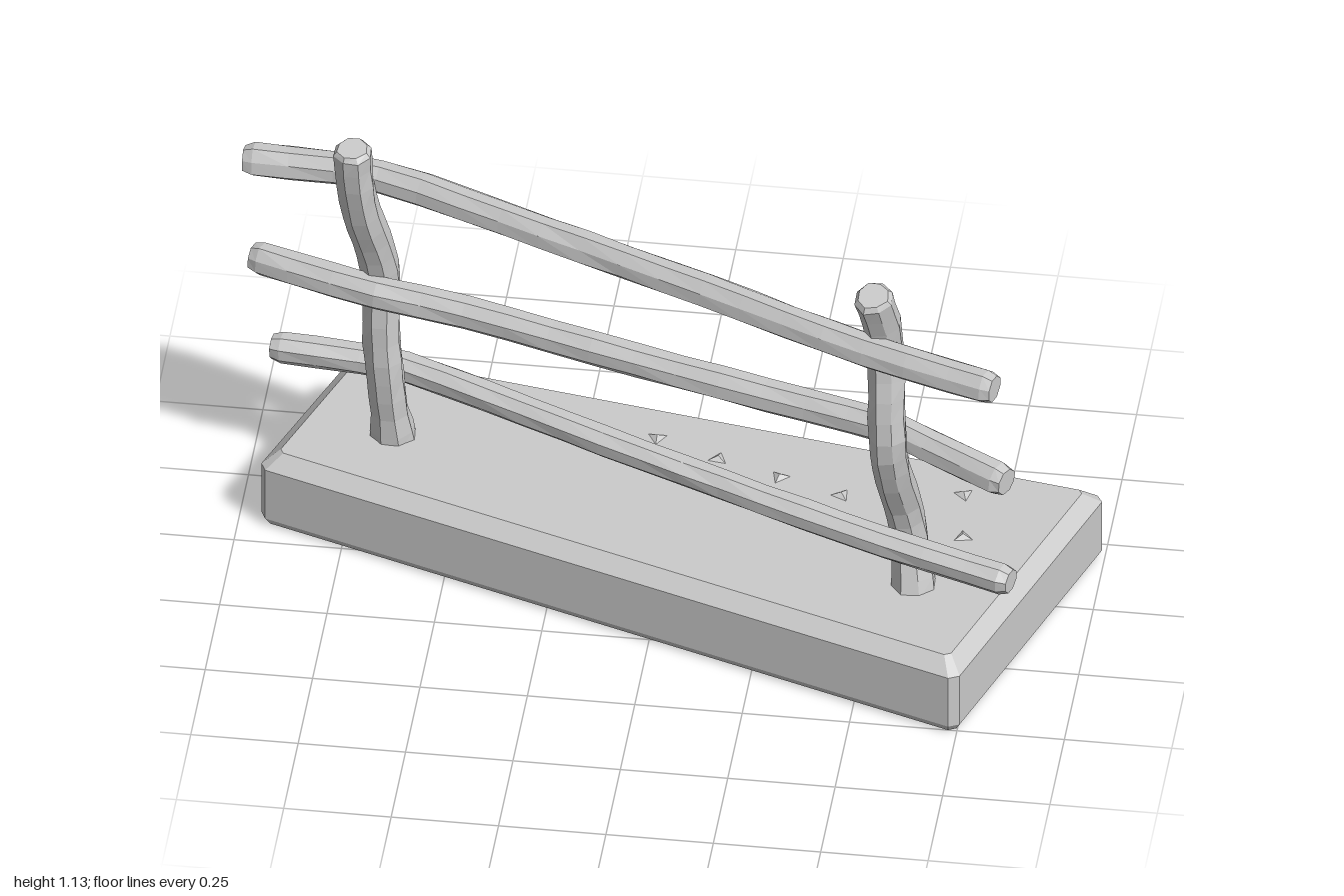
import * as THREE from 'three';

const material = new THREE.MeshStandardMaterial({ color: 0xcccccc, flatShading: true });
const V = (x, y, z) => new THREE.Vector3(x, y, z);

// Small seeded generator for the hand-carved irregularity
let seed = 7;
const rand = () => {
  seed = (seed * 16807) % 2147483647;
  return seed / 2147483647 - 0.5;
};

// Skin a list of rings (counter-clockwise about the direction of travel), closing both ends
function loft(name, rings) {
  const pos = [];
  const tri = (...pts) => pts.forEach((p) => pos.push(p.x, p.y, p.z));
  const n = rings[0].length;
  for (let i = 0; i < rings.length - 1; i++) {
    for (let j = 0; j < n; j++) {
      const k = (j + 1) % n, a = rings[i], b = rings[i + 1];
      tri(a[j], a[k], b[k]);
      tri(a[j], b[k], b[j]);
    }
  }
  const cap = (ring, flip) => {
    const c = ring.reduce((s, p) => s.add(p), V(0, 0, 0)).divideScalar(n);
    ring.forEach((p, j) => {
      const q = ring[(j + 1) % n];
      flip ? tri(c, q, p) : tri(c, p, q);
    });
  };
  cap(rings[0], true);
  cap(rings[rings.length - 1], false);
  const geo = new THREE.BufferGeometry();
  geo.setAttribute('position', new THREE.Float32BufferAttribute(pos, 3));
  geo.computeVertexNormals();
  const mesh = new THREE.Mesh(geo, material);
  mesh.name = name;
  return mesh;
}

// Crooked branch along a path, with uneven facets and chamfered ends
function branch(name, points, radius, up, flare = 0) {
  const sides = 8, steps = 18;
  const curve = new THREE.CatmullRomCurve3(points.map((p) => V(...p)), false, 'centripetal');
  const lumps = Array.from({ length: sides }, () => 1 + rand() * 0.12);
  const stations = [0, 0.012];
  for (let i = 1; i < steps; i++) stations.push(i / steps);
  stations.push(0.988, 1);
  const rings = stations.map((u, i) => {
    const p = curve.getPointAt(u), t = curve.getTangentAt(u);
    const nrm = up.clone().cross(t).normalize();
    const bin = t.clone().cross(nrm);
    const tip = i === 0 || i === stations.length - 1 ? 0.8 : 1;
    const thick = 1 + flare * Math.max(0, 1 - u * 9);
    return lumps.map((l, j) => {
      const a = ((j + 0.5) / sides) * Math.PI * 2;
      const r = radius * l * tip * thick * (1 + rand() * 0.09);
      return p.clone().addScaledVector(nrm, Math.cos(a) * r).addScaledVector(bin, Math.sin(a) * r);
    });
  });
  return loft(name, rings);
}

// Skewed slab with a bevelled rim and clipped corners
function slab() {
  const corners = [V(0.75, 0, 0.52), V(1, 0, -0.22), V(-0.79, 0, -0.525), V(-0.955, 0, -0.07)];
  const outline = (y, inset, clip) => corners.flatMap((c, i) => {
    const before = corners[(i + 3) % 4].clone().sub(c).normalize();
    const after = corners[(i + 1) % 4].clone().sub(c).normalize();
    const p = c.clone().addScaledVector(before, inset).addScaledVector(after, inset).setY(y);
    return [p.clone().addScaledVector(before, clip), p.clone().addScaledVector(after, clip)];
  });
  return loft('base', [
    outline(0.005, 0.012, 0.015),
    outline(0.025, 0, 0.02),
    outline(0.165, 0, 0.02),
    outline(0.2, 0.036, 0.012),
  ]);
}

export function createModel() {
  seed = 7;
  const model = new THREE.Group();
  model.name = 'rusticFence';
  const X = V(1, 0, 0), Y = V(0, 1, 0);

  model.add(slab());

  // Two crooked posts
  model.add(branch('leftPost', [
    [0.61, 0.17, 0.21], [0.597, 0.33, 0.19], [0.585, 0.43, 0.21], [0.567, 0.57, 0.27],
    [0.56, 0.7, 0.303], [0.557, 0.9, 0.288], [0.55, 1.0, 0.298], [0.533, 1.125, 0.342],
  ], 0.046, X, 0.25));
  model.add(branch('rightPost', [
    [-0.655, 0.17, -0.205], [-0.67, 0.35, -0.182], [-0.68, 0.5, -0.178], [-0.682, 0.65, -0.185],
    [-0.69, 0.75, -0.163], [-0.718, 0.9, -0.112], [-0.73, 1.0, -0.09], [-0.735, 1.11, -0.075],
  ], 0.045, X, 0.25));

  // Three rails woven past the posts
  model.add(branch('topRail', [
    [-1, 0.972, -0.185], [-0.75, 0.978, -0.165], [-0.62, 0.975, -0.135], [-0.45, 0.97, -0.07],
    [0.1, 0.968, 0.16], [0.53, 0.965, 0.345], [0.83, 0.962, 0.445],
  ], 0.041, Y));
  model.add(branch('middleRail', [
    [-0.985, 0.66, -0.225], [-0.7, 0.665, -0.125], [-0.5, 0.66, -0.085], [0, 0.655, 0.06],
    [0.4, 0.655, 0.175], [0.56, 0.66, 0.225], [0.67, 0.655, 0.285], [0.85, 0.65, 0.385],
  ], 0.041, Y));
  model.add(branch('bottomRail', [
    [-0.95, 0.35, -0.295], [-0.72, 0.355, -0.265], [-0.62, 0.352, -0.25], [-0.5, 0.35, -0.2],
    [0, 0.345, 0.02], [0.56, 0.34, 0.25], [0.855, 0.335, 0.35],
  ], 0.039, Y));

  // Small chips scattered behind the fence
  const chips = new THREE.Group();
  chips.name = 'groundChips';
  const spots = [[-0.05, -0.26], [0.1, -0.2], [0.25, -0.15], [0.4, -0.1], [0.55, -0.05], [0.68, -0.14], [0.7, 0.02]];
  spots.forEach(([x, z], i) => {
    const chip = new THREE.Mesh(new THREE.ConeGeometry(0.03, 0.012, 3), material);
    chip.name = 'chip';
    chip.position.set(x, 0.204, z);
    chip.rotation.y = i * 0.9;
    chips.add(chip);
  });
  model.add(chips);
  return model;
}
